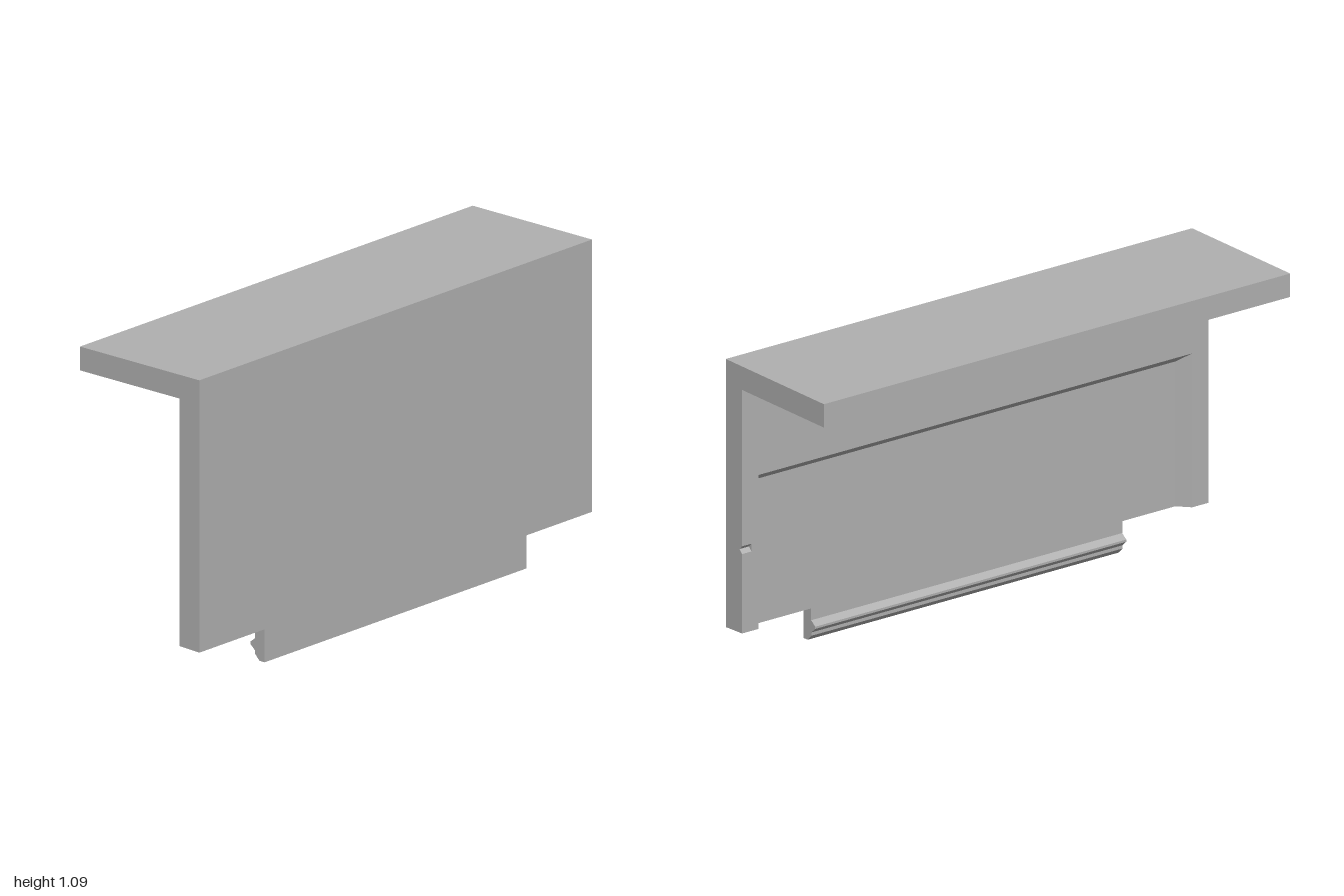
import * as THREE from 'three';

const WIDTH = 1, FRONT = 0.27, BACK = 0.18, FLOOR = 0.227;

// Extrude a side profile of [z, y] points along x from x0 to x1.
function extrudeX(points, x0, x1) {
  const shape = new THREE.Shape(points.map(([z, y]) => new THREE.Vector2(-z, y)));
  const geometry = new THREE.ExtrudeGeometry(shape, { depth: x1 - x0, bevelEnabled: false });
  geometry.rotateY(Math.PI / 2);
  geometry.translate(x0, 0, 0);
  return geometry;
}

export function createModel() {
  const group = new THREE.Group();
  const grey = new THREE.MeshStandardMaterial({ color: 0xb0b0b0 });
  grey.name = 'plain grey';

  const add = (name, geometry) => {
    const mesh = new THREE.Mesh(geometry, grey);
    mesh.name = name;
    group.add(mesh);
  };

  // Front panel and top shelf, with the sloped upper edge of the back recess
  add('panelAndShelf', extrudeX([
    [FRONT, 0.118], [FRONT, 1.09], [-0.27, 1.09], [-0.27, 1.005],
    [BACK, 1.005], [BACK, 0.68], [FLOOR, 0.645], [FLOOR, 0.12],
  ], -WIDTH, WIDTH));

  // Side rails of the recess: a straight outer strip and a bevelled inner strip
  const rail = [[FLOOR, 0.12], [FLOOR, 0.645], [BACK, 0.68], [BACK, 0.122]];
  const notch = [[BACK, 0.438], [BACK + 0.014, 0.424], [BACK, 0.41]];
  const notchedRail = [...rail.slice(0, 3), ...notch, rail[3]];
  for (const side of [1, -1]) {
    const label = side > 0 ? 'left' : 'right';
    const [a, b] = side > 0 ? [0.96, WIDTH] : [-WIDTH, -0.96];
    add(label + 'OuterRail', extrudeX(side > 0 ? notchedRail : rail, a, b));

    const [c, d] = side > 0 ? [0.895, 0.96] : [-0.96, -0.895];
    const inner = extrudeX(rail, c, d);
    const p = inner.attributes.position;
    for (let i = 0; i < p.count; i++) {
      // Pull the rear inner edge outward to slope the recess wall
      if (Math.abs(p.getX(i)) < 0.9 && p.getZ(i) < BACK + 0.01) p.setX(i, side * 0.93);
    }
    inner.computeVertexNormals();
    add(label + 'InnerRail', inner);
  }

  // Lower tab with its snap ridge and chamfered foot
  add('snapTab', extrudeX([
    [FRONT, 0], [FRONT, 0.118], [FLOOR, 0.12], [FLOOR, 0.077], [0.205, 0.06],
    [0.205, 0.052], [0.226, 0.033], [0.226, 0.021], [0.247, 0],
  ], -0.667, 0.667));

  return group;
}
